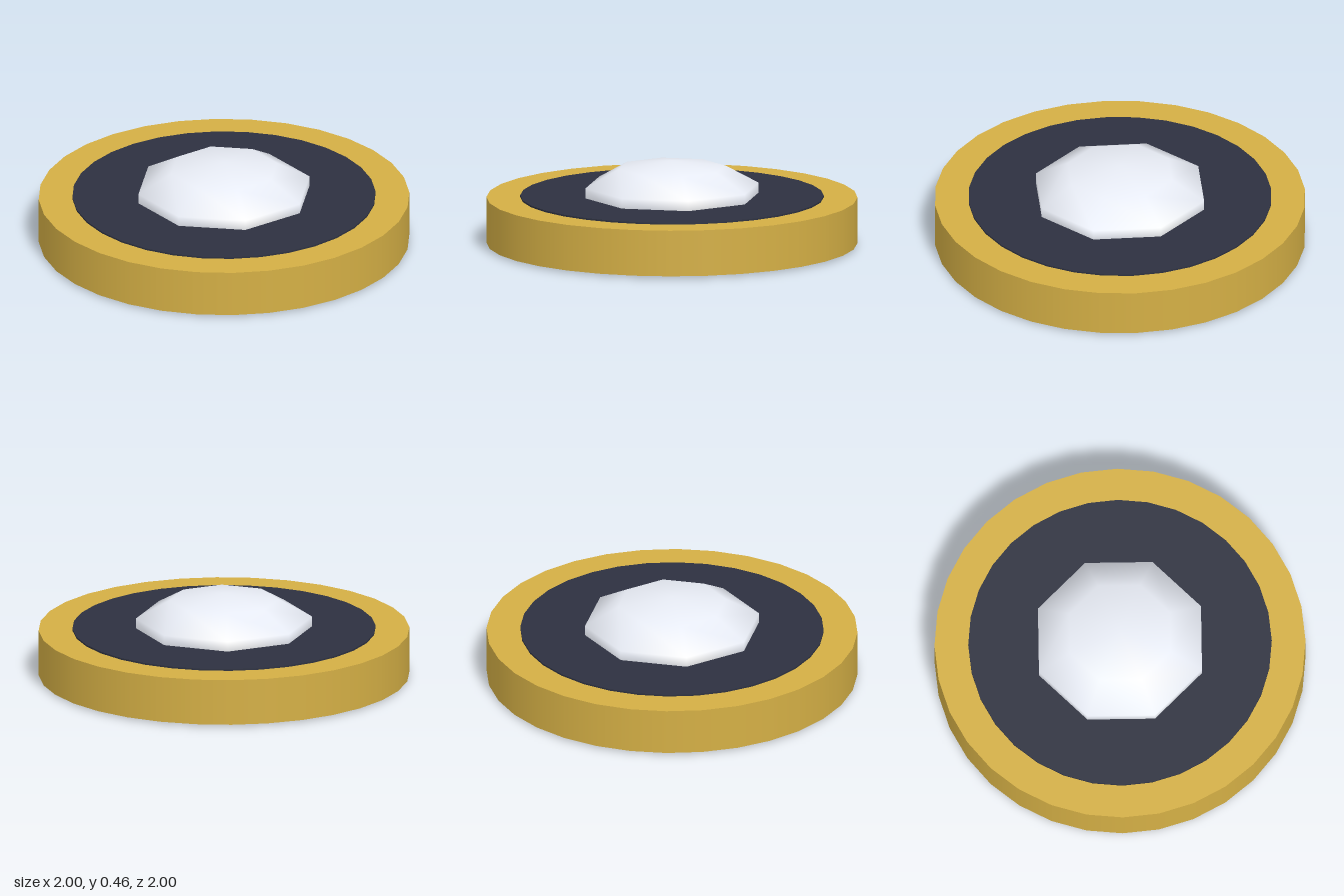
import * as THREE from 'three';

const material = (color) => new THREE.MeshStandardMaterial({ color });

export function createModel() {
  const model = new THREE.Group();
  model.name = 'domedMedallion';

  const add = (name, geometry, color, y) => {
    const mesh = new THREE.Mesh(geometry, material(color));
    mesh.name = name;
    mesh.position.y = y;
    model.add(mesh);
    return mesh;
  };

  // Wide gold rim
  add('rim', new THREE.CylinderGeometry(1, 1, 0.25, 32), 0xd4af45, 0.134);

  // Dark disc standing slightly proud of the rim on both faces
  add('inlayDisc', new THREE.CylinderGeometry(0.818, 0.818, 0.268, 32), 0x2d3140, 0.134);

  // Flattened eight-sided gem set into the disc
  const gem = add('gem', new THREE.SphereGeometry(0.5, 8, 5), 0xe8ecf5, 0.26);
  gem.scale.y = 0.4;

  return model;
}
